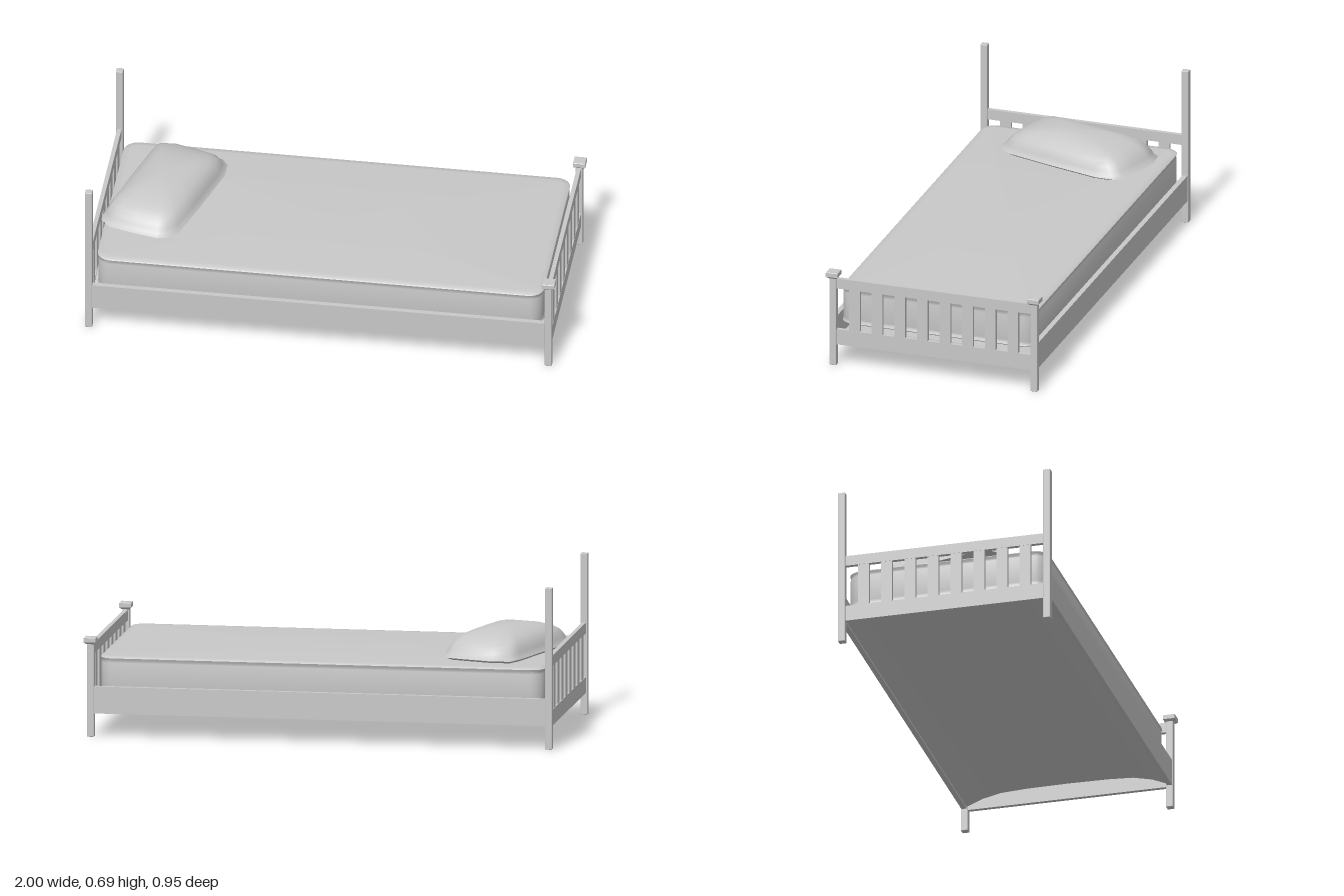
import * as THREE from 'three';
import { toCreasedNormals } from 'three/addons/utils/BufferGeometryUtils.js';
import { RoundedBoxGeometry } from 'three/addons/geometries/RoundedBoxGeometry.js';

// Skin a stack of closed [x, y, z] rings, listed from bottom to top
function loft(rings, crease) {
  const n = rings[0].length, index = [];
  for (let i = 0; i < rings.length - 1; i++) {
    for (let j = 0; j < n; j++) {
      const a = i * n + j, b = i * n + (j + 1) % n, c = a + n, d = b + n;
      index.push(a, c, b, b, c, d);
    }
  }
  const geo = new THREE.BufferGeometry();
  geo.setAttribute('position', new THREE.Float32BufferAttribute(rings.flat(2), 3));
  geo.setIndex(index);
  return toCreasedNormals(geo, crease);
}

// Rounded rectangle ring in the xz plane
function roundedRing(cx, hx, hz, r, y) {
  const ring = [];
  [[1, 1], [-1, 1], [-1, -1], [1, -1]].forEach(([sx, sz], q) => {
    for (let k = 0; k <= 6; k++) {
      const a = (q + k / 6) * Math.PI / 2;
      ring.push([cx + sx * (hx - r) + r * Math.cos(a), y, sz * (hz - r) + r * Math.sin(a)]);
    }
  });
  return ring;
}

export function createModel() {
  const bed = new THREE.Group();
  bed.name = 'bed';
  const grey = new THREE.MeshStandardMaterial({ color: 0xc8c8c8 });
  grey.name = 'plain grey';

  const add = (name, geo, x = 0, y = 0, z = 0, parent = bed) => {
    const mesh = new THREE.Mesh(geo, grey);
    mesh.name = name;
    mesh.position.set(x, y, z);
    parent.add(mesh);
    return mesh;
  };
  // Box given by its limits on each axis
  const block = (name, [x0, x1], [y0, y1], [z0, z1], parent) =>
    add(name, new THREE.BoxGeometry(x1 - x0, y1 - y0, z1 - z0),
      (x0 + x1) / 2, (y0 + y1) / 2, (z0 + z1) / 2, parent);

  // Slatted end panels with their posts
  for (const [name, x, height] of [['headboard', -0.985, 0.69], ['footboard', 0.972, 0.4]]) {
    const end = new THREE.Group();
    end.name = name;
    bed.add(end);
    block('topRail', [x - 0.009, x + 0.009], [0.35, 0.395], [-0.435, 0.435], end);
    block('bottomRail', [x - 0.009, x + 0.009], [0.095, 0.164], [-0.435, 0.435], end);
    for (let i = 0; i < 8; i++) {
      const z = (i - 3.5) * 0.1008;
      block('slat', [x - 0.008, x + 0.008], [0.16, 0.355], [z - 0.024, z + 0.024], end);
    }
    for (const s of [-1, 1]) {
      add('post', new RoundedBoxGeometry(0.03, height, 0.031, 1, 0.003), x, height / 2, s * 0.448, end);
      if (name === 'footboard') {
        // Post cap with a flared underside
        const cap = [[0.016, 0.396], [0.024, 0.403], [0.026, 0.405], [0.026, 0.423], [0.024, 0.425], [0, 0.425]]
          .map(([h, y]) => [[h, y, h], [-h, y, h], [-h, y, -h], [h, y, -h]]);
        add('postCap', loft(cap, 0.3), x + 0.002, 0, s * 0.448, end);
      }
    }
  }

  // Side rails
  for (const s of [-1, 1]) {
    block('sideRail', [-0.972, 0.957], [0.1, 0.215], [s * 0.449 - 0.011, s * 0.449 + 0.011]);
  }

  // Base sheet, arched up between the side rails
  const arch = [[0.44, 0.108], [0.37, 0.137], [0.29, 0.155], [0.18, 0.161], [0, 0.163]];
  const lower = [...arch, ...arch.slice(0, -1).reverse().map(([z, y]) => [-z, y])];
  const upper = lower.map(([z, y]) => [z, y + 0.003]).reverse();
  const sheet = new THREE.Shape([...lower, ...upper].map(([z, y]) => new THREE.Vector2(z, y)));
  const sheetGeo = new THREE.ExtrudeGeometry(sheet, { depth: 1.936, bevelEnabled: false });
  sheetGeo.rotateY(-Math.PI / 2);
  add('baseSheet', toCreasedNormals(sheetGeo, 0.6), 0.96);

  // Mattress with rounded edges and a raised seam at top and bottom
  const profile = [[0.03, 0.174], [0.006, 0.176], [0, 0.181], [0.002, 0.186], [0.004, 0.189], [0.002, 0.2],
    [0.002, 0.314], [0.004, 0.325], [0.002, 0.328], [0, 0.333], [0.006, 0.338], [0.03, 0.34]];
  const centre = (y) => roundedRing(-0.008, 0, 0, 0, y);
  const rings = profile.map(([inset, y]) =>
    roundedRing(-0.008, 0.95 - inset, 0.435 - inset, 0.06 - inset, y));
  add('mattress', loft([centre(0.174), ...rings, centre(0.341)], 0.9));

  // Pillow: one skewed outline, with a flat brim below a shrinking dome
  const outline = [[-0.81, -0.385], [-0.73, -0.392], [-0.62, -0.36], [-0.53, -0.33], [-0.502, -0.29],
    [-0.505, -0.21], [-0.57, 0.02], [-0.635, 0.225], [-0.68, 0.27], [-0.72, 0.28], [-0.83, 0.255],
    [-0.93, 0.225], [-0.972, 0.18], [-0.965, 0.11], [-0.9, -0.12], [-0.84, -0.32]];
  const dome = [[0, 0.336], [0.75, 0.338], [0.92, 0.347], [1, 0.358], [0.95, 0.368], [0.92, 0.383],
    [0.88, 0.4], [0.82, 0.418], [0.72, 0.435], [0.56, 0.45], [0.34, 0.462], [0, 0.465]];
  const px = -0.737, pz = -0.055;
  add('pillow', loft(dome.map(([s, y]) =>
    outline.map(([x, z]) => [(x - px) * s, y, (z - pz) * s])), 1), px, 0, pz);

  return bed;
}
